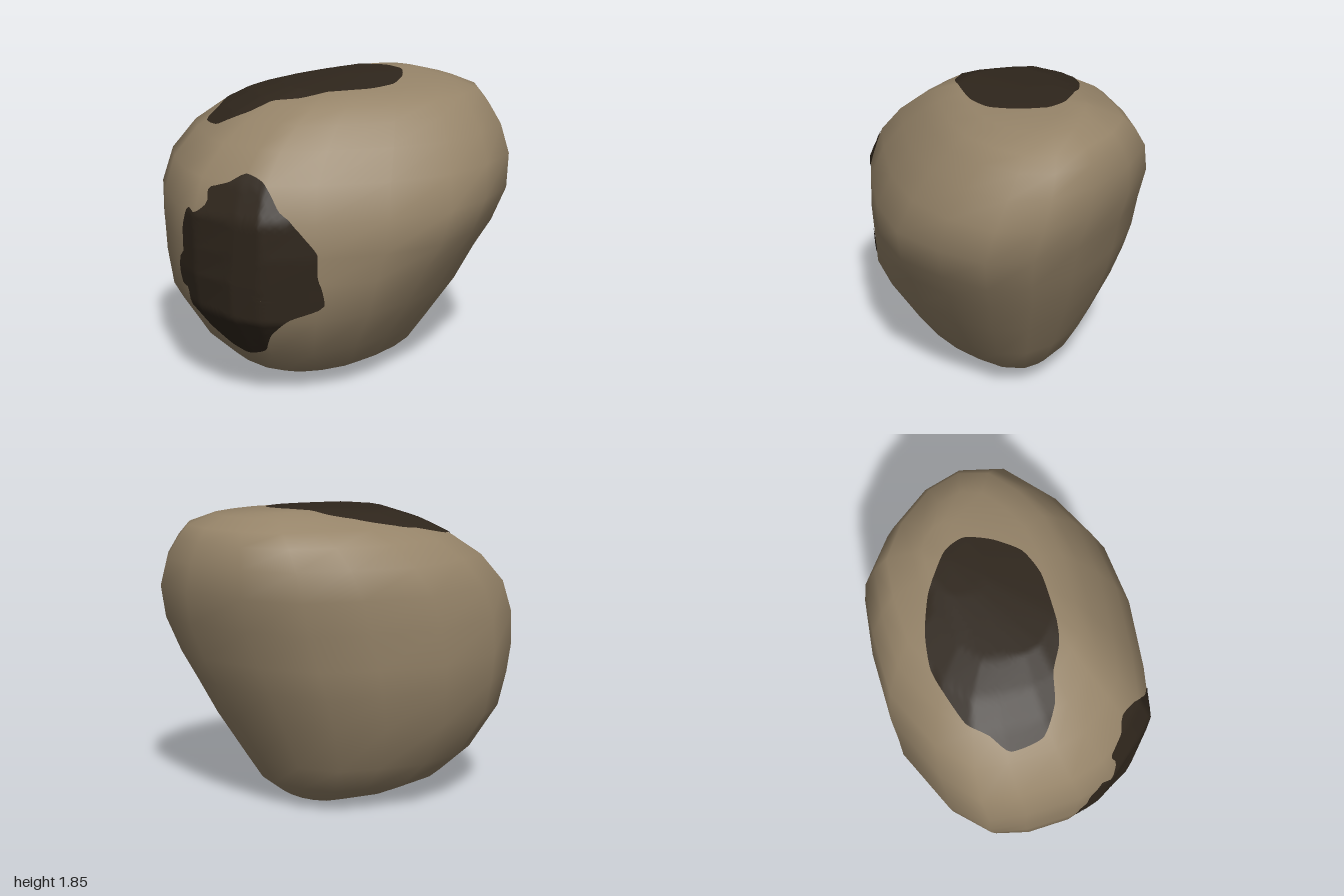
import * as THREE from 'three';

// Plan outlines of the boulder seen from above (x, z): foot, waist and crown
const FOOT = [
  [0.24, -1], [0.52, -0.96], [0.73, -0.8], [0.83, -0.5], [0.88, -0.16], [0.86, 0.2],
  [0.72, 0.57], [0.5, 0.87], [0.29, 0.97], [-0.04, 1], [-0.29, 0.97], [-0.58, 0.85],
  [-0.77, 0.7], [-0.88, 0.42], [-0.88, -0.02], [-0.7, -0.42], [-0.51, -0.73], [-0.17, -0.91],
];
const WAIST = [
  [0.24, -1], [0.52, -0.96], [0.73, -0.8], [0.83, -0.5], [0.88, -0.16], [0.75, 0.22],
  [0.53, 0.6], [0.35, 0.86], [0.2, 0.92], [-0.08, 1], [-0.3, 0.97], [-0.6, 0.84],
  [-0.79, 0.72], [-0.88, 0.44], [-0.88, -0.02], [-0.7, -0.42], [-0.51, -0.73], [-0.17, -0.91],
];
const CROWN = WAIST.map((p) => [...p]);
CROWN[1] = [0.56, -0.96];
CROWN[2] = [0.78, -0.79];
CROWN[3] = [0.87, -0.49];

// Height and extent of each cross-section: y, xMin, xMax, zMin, zMax
const LEVELS = [
  [0.005, -0.13, -0.02, -0.22, 0.1], [0.02, -0.22, 0.13, -0.3, 0.26],
  [0.06, -0.35, 0.22, -0.38, 0.42], [0.15, -0.52, 0.37, -0.48, 0.62],
  [0.31, -0.67, 0.48, -0.57, 0.78], [0.58, -0.81, 0.65, -0.71, 0.95],
  [0.8, -0.86, 0.74, -0.81, 0.98], [0.97, -0.885, 0.83, -0.88, 0.99],
  [1.18, -0.875, 0.88, -0.95, 1], [1.38, -0.86, 0.81, -1, 0.92],
  [1.55, -0.79, 0.72, -0.99, 0.76], [1.67, -0.67, 0.62, -0.95, 0.59],
  [1.75, -0.55, 0.54, -0.9, 0.44], [1.81, -0.36, 0.39, -0.77, 0.27],
  [1.84, -0.22, 0.1, -0.66, -0.2],
];

// Patch outlines: front in (x, y), top in (x, z)
const FRONT_PATCH = [
  [0.16, 1.43], [0.3, 1.39], [0.39, 1.25], [0.45, 1.19], [0.5, 1.09], [0.54, 1], [0.535, 0.87],
  [0.54, 0.67], [0.43, 0.6], [0.32, 0.49], [0.23, 0.36], [0.11, 0.31], [-0.015, 0.34],
  [-0.12, 0.45], [-0.215, 0.59], [-0.225, 0.68], [-0.28, 0.69], [-0.295, 0.77], [-0.275, 0.87],
  [-0.235, 0.91], [-0.22, 1.07], [-0.155, 1.2], [-0.08, 1.185], [-0.015, 1.25], [-0.035, 1.33],
  [0.01, 1.35], [0.09, 1.38],
];
const TOP_PATCH = [
  [-0.07, -0.5], [0.07, -0.5], [0.19, -0.39], [0.28, -0.23], [0.27, -0.05], [0.16, 0.2],
  [0.08, 0.32], [-0.05, 0.42], [-0.15, 0.55], [-0.31, 0.64], [-0.5, 0.58], [-0.54, 0.45],
  [-0.6, 0.32], [-0.58, 0.08], [-0.55, -0.05], [-0.45, -0.21], [-0.29, -0.37],
];

function makeGeometry(positions, index) {
  const geometry = new THREE.BufferGeometry();
  geometry.setAttribute('position', new THREE.Float32BufferAttribute(positions, 3));
  geometry.setIndex(index);
  geometry.computeVertexNormals();
  return geometry;
}

// Closed skin through all cross-sections, blending the outlines by height
function boulderGeometry() {
  const n = WAIST.length, positions = [], index = [];
  for (const [y, x0, x1, z0, z1] of LEVELS) {
    const low = THREE.MathUtils.clamp((1.1 - y) / 0.5, 0, 1);
    const high = THREE.MathUtils.clamp((y - 1.1) / 0.28, 0, 1);
    const blend = (i, c) =>
      WAIST[i][c] + (FOOT[i][c] - WAIST[i][c]) * low + (CROWN[i][c] - WAIST[i][c]) * high;
    for (let i = 0; i < n; i++) {
      positions.push((x0 + x1) / 2 + (blend(i, 0) / 0.88) * (x1 - x0) / 2, y,
        (z0 + z1) / 2 + blend(i, 1) * (z1 - z0) / 2);
    }
  }
  const last = (LEVELS.length - 1) * n, bottom = last + n, top = bottom + 1;
  positions.push(-0.08, 0, -0.06, -0.08, 1.846, -0.45);
  for (let i = 0; i < n; i++) {
    const j = (i + 1) % n;
    for (let k = 0; k < last; k += n) {
      index.push(k + i, k + n + i, k + j, k + j, k + n + i, k + n + j);
    }
    index.push(bottom, i, j, top, last + j, last + i);
  }
  return makeGeometry(positions, index);
}

// Thin patch dropped onto the boulder; place(u, v) gives the ray start
function patchGeometry(boulder, outline, centre, place, direction) {
  const curve = new THREE.CatmullRomCurve3(
    outline.map(([u, v]) => new THREE.Vector3(u, v, 0)), true, 'catmullrom', 0.3);
  const n = 108, rings = 18, positions = [], index = [];
  const edge = curve.getSpacedPoints(n).slice(0, n);
  const ray = new THREE.Raycaster();
  const drop = (u, v) => {
    ray.set(place(u, v), direction);
    const hit = ray.intersectObject(boulder)[0];
    const p = hit.point.addScaledVector(hit.face.normal, 0.006);
    positions.push(p.x, p.y, p.z);
  };
  drop(...centre);
  for (let r = 1; r <= rings; r++) {
    for (const p of edge) {
      const t = r / rings;
      drop(centre[0] + (p.x - centre[0]) * t, centre[1] + (p.y - centre[1]) * t);
    }
  }
  for (let i = 0; i < n; i++) {
    const j = (i + 1) % n;
    index.push(0, 1 + j, 1 + i);
    for (let k = 1; k < 1 + (rings - 1) * n; k += n) {
      index.push(k + i, k + j, k + n + i, k + j, k + n + j, k + n + i);
    }
  }
  return makeGeometry(positions, index);
}

export function createModel() {
  const stone = new THREE.MeshStandardMaterial({ color: 0x968469 });
  stone.name = 'tan stone';
  const dark = new THREE.MeshStandardMaterial({ color: 0x2f261c });
  dark.name = 'dark brown';

  const group = new THREE.Group();
  group.name = 'boulder';
  const add = (name, geometry, material) => {
    const mesh = new THREE.Mesh(geometry, material);
    mesh.name = name;
    group.add(mesh);
    return mesh;
  };

  const body = add('stoneBody', boulderGeometry(), stone);
  add('frontPatch', patchGeometry(body, FRONT_PATCH, [0.12, 0.85],
    (u, v) => new THREE.Vector3(u, v, 3), new THREE.Vector3(0, 0, -1)), dark);
  add('topPatch', patchGeometry(body, TOP_PATCH, [-0.17, 0.06],
    (u, v) => new THREE.Vector3(u, 3, v), new THREE.Vector3(0, -1, 0)), dark);
  return group;
}
